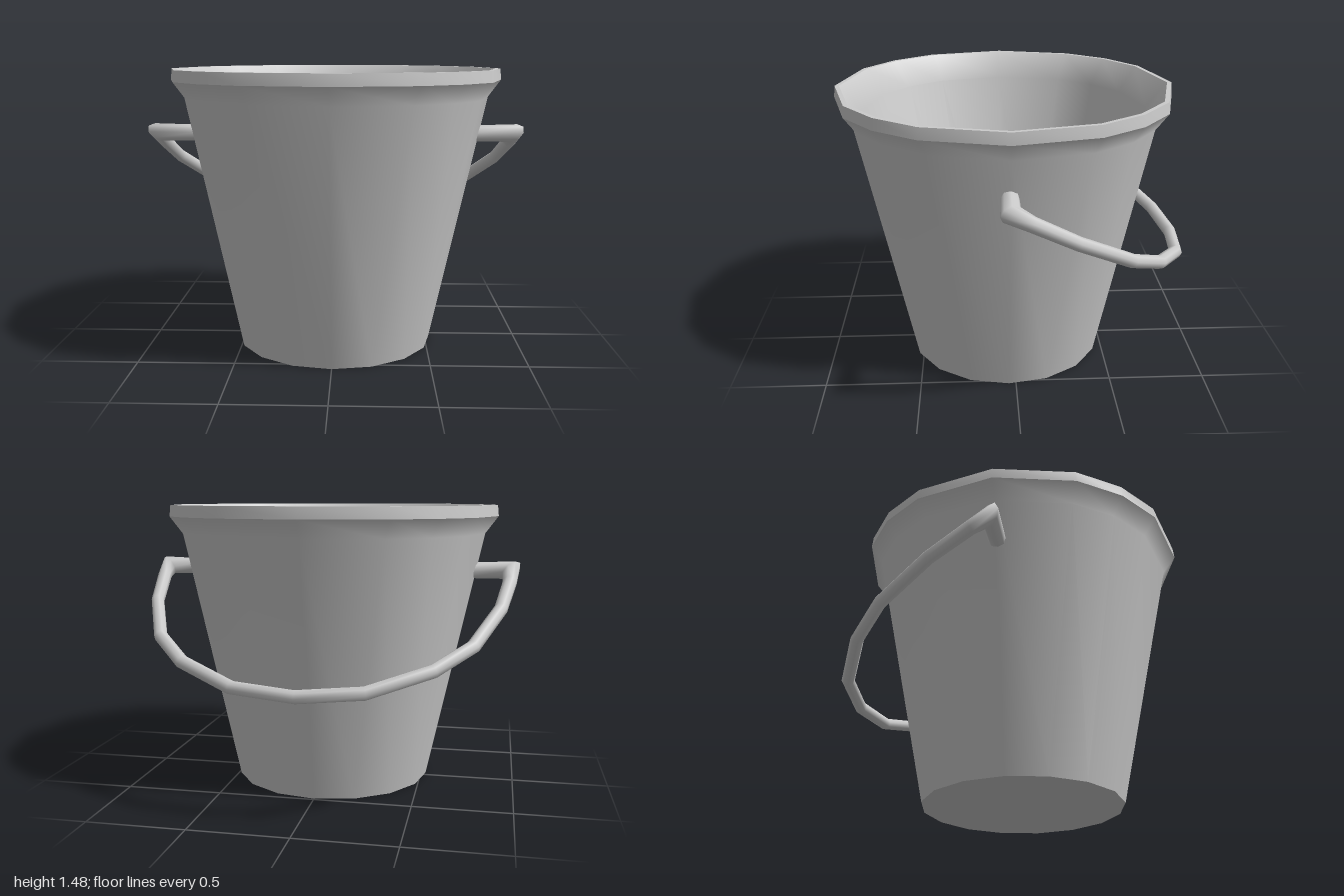
import * as THREE from 'three';

const mat = new THREE.MeshStandardMaterial({ color: 0xcccccc, side: THREE.DoubleSide });
const CENTRE_Z = 0.037;

// Sixteen corners per ring; "gap" is the angle from each axis to its neighbouring corner
function ring(radius, y, gap) {
  const points = [];
  for (let q = 0; q < 4; q++) {
    for (const deg of [0, gap, 45, 90 - gap]) {
      const a = THREE.MathUtils.degToRad(deg + q * 90);
      points.push(new THREE.Vector3(radius * Math.sin(a), y, radius * Math.cos(a) + CENTRE_Z));
    }
  }
  return points;
}

// Joins successive rings of points into a smooth surface
function skin(name, rings) {
  const n = rings[0].length;
  const index = [];
  for (let r = 0; r < rings.length - 1; r++) {
    for (let i = 0; i < n; i++) {
      const a = r * n + i, b = r * n + (i + 1) % n;
      index.push(a, b, a + n, b, b + n, a + n);
    }
  }
  const geo = new THREE.BufferGeometry().setFromPoints(rings.flat());
  geo.setIndex(index);
  geo.computeVertexNormals();
  const mesh = new THREE.Mesh(geo, mat);
  mesh.name = name;
  return mesh;
}

// Sweeps an octagon along a planar path with mitred corners
function mitredRod(name, path, radii, normal) {
  const sides = 8;
  const rings = path.map((p, i) => {
    const before = p.clone().sub(path[Math.max(i - 1, 0)]).normalize();
    const after = path[Math.min(i + 1, path.length - 1)].clone().sub(p).normalize();
    if (i === 0) before.copy(after);
    if (i === path.length - 1) after.copy(before);
    const tangent = before.clone().add(after).normalize();
    const side = new THREE.Vector3().crossVectors(normal, tangent).normalize();
    const stretch = 1 / tangent.dot(before);
    return Array.from({ length: sides }, (_, k) => {
      const a = ((k + 0.5) / sides) * Math.PI * 2;
      return p.clone()
        .addScaledVector(side, Math.cos(a) * radii[i] * stretch)
        .addScaledVector(normal, Math.sin(a) * radii[i]);
    });
  });
  // closed ends
  const first = Array(sides).fill(path[0]);
  const last = Array(sides).fill(path[path.length - 1]);
  const group = new THREE.Group();
  group.name = name;
  group.add(
    skin('handleRod', rings),
    skin('handlePegEndRight', [first, rings[0]]),
    skin('handlePegEndLeft', [rings[rings.length - 1], last])
  );
  return group;
}

export function createModel() {
  const model = new THREE.Group();
  model.name = 'bucket';

  const EVEN = 22.5, WIDE = 27.6;
  const base = ring(0.526, 0, EVEN);
  const neck = ring(0.815, 1.335, WIDE);
  const lipLow = ring(0.882, 1.425, WIDE);
  const lipTop = ring(0.876, 1.483, WIDE);
  const lipInner = ring(0.853, 1.483, WIDE);
  const neckInner = ring(0.745, 1.35, WIDE);
  const floorEdge = ring(0.44, 0.05, EVEN);

  // Outer shell, rim bands and thick-walled lining
  model.add(
    skin('underside', [ring(0, 0, EVEN), base]),
    skin('outerWall', [base, neck, lipLow]),
    skin('rimBand', [lipLow, lipTop]),
    skin('rimTop', [lipTop, lipInner]),
    skin('innerWall', [lipInner, neckInner, floorEdge]),
    skin('floor', [floorEdge, ring(0, 0.05, EVEN)])
  );

  // Swinging handle: half outline as x, z, radius, tilted down towards the back
  const slope = 0.547;
  const half = [
    [0.74, 0.04, 0.043], [0.956, 0.046, 0.047], [0.95, -0.05, 0.037], [0.908, -0.26, 0.034],
    [0.785, -0.53, 0.034], [0.61, -0.7, 0.034], [0.315, -0.85, 0.034],
  ];
  const outline = [
    ...half.map(([x, z, r]) => [-x, z, r]),
    [0, -0.89, 0.034],
    ...half.toReversed(),
  ];
  const path = outline.map(([x, z]) => new THREE.Vector3(x, 1.14 + slope * (z - 0.043), z));
  const radii = outline.map(([, , r]) => r);
  const normal = new THREE.Vector3(0, 1, -slope).normalize();
  model.add(mitredRod('handle', path, radii, normal));

  return model;
}
